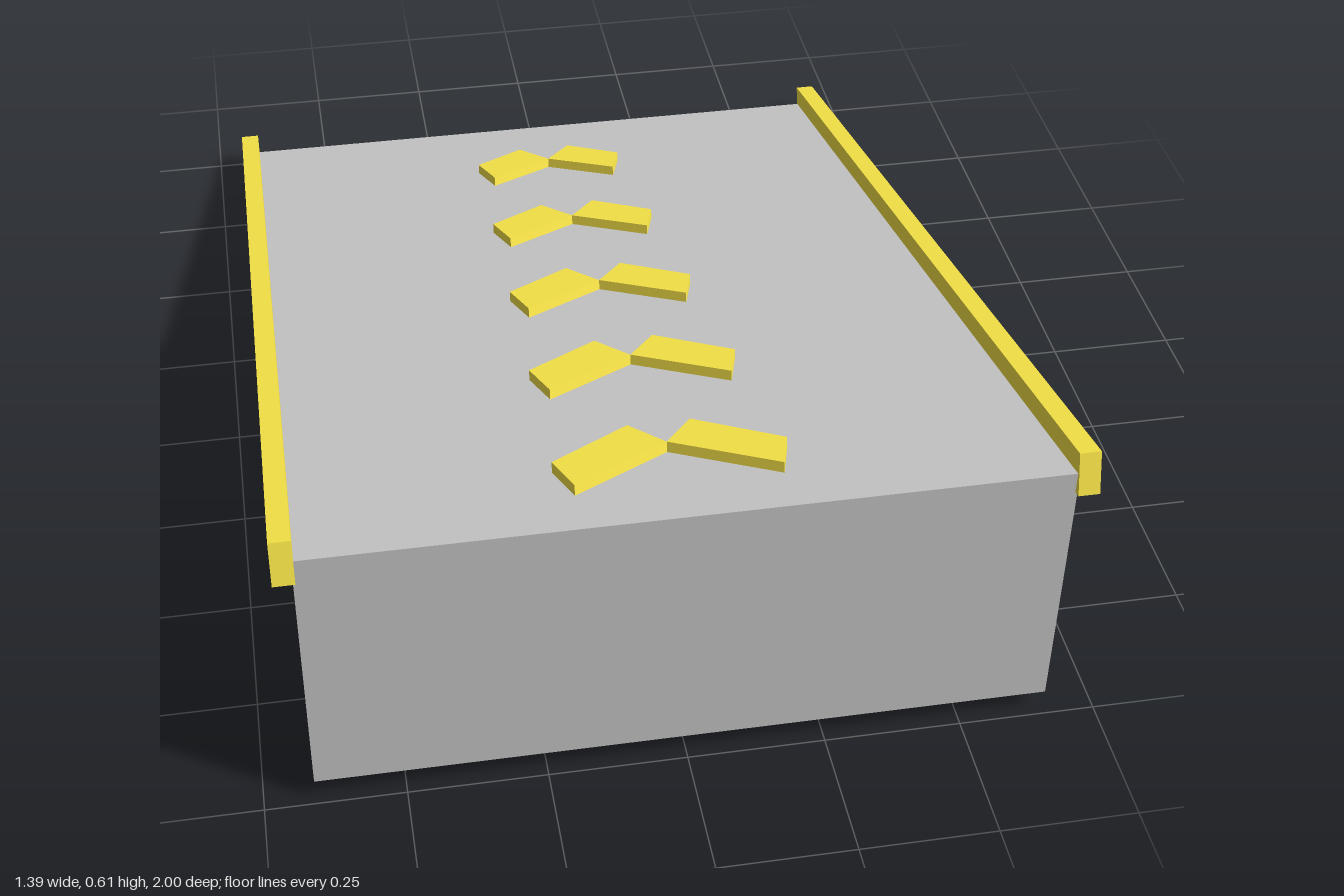
import * as THREE from 'three';

export function createModel() {
  const model = new THREE.Group();
  const grey = new THREE.MeshStandardMaterial({ color: 0xcccccc, flatShading: true });
  const yellow = new THREE.MeshStandardMaterial({ color: 0xffea4a, flatShading: true });

  const halfWidth = 0.66, halfLength = 0.985, low = 0.042, high = 0.57;
  const slope = Math.atan2(high - low, 2 * halfLength);
  const cos = Math.cos(slope);

  const add = (parent, name, geometry, material) => {
    const mesh = new THREE.Mesh(geometry, material);
    mesh.name = name;
    parent.add(mesh);
    return mesh;
  };

  // Solid wedge: side profile extruded across the width
  const profile = new THREE.Shape([
    new THREE.Vector2(-halfLength, low),
    new THREE.Vector2(halfLength, low),
    new THREE.Vector2(-halfLength, high),
  ]);
  const wedge = new THREE.ExtrudeGeometry(profile, { depth: 2 * halfWidth, bevelEnabled: false });
  wedge.translate(0, 0, -halfWidth).rotateY(Math.PI / 2);
  add(model, 'rampBody', wedge, grey);

  // Everything on the sloped surface shares one tilted frame
  const deck = new THREE.Group();
  deck.name = 'slopedDeck';
  deck.position.y = (low + high) / 2;
  deck.rotation.x = -slope;
  model.add(deck);

  // Side rails
  for (const side of [1, -1]) {
    const rail = add(deck, side > 0 ? 'leftRail' : 'rightRail',
      new THREE.BoxGeometry(0.038, 0.08, 2.05), yellow);
    rail.position.x = side * 0.675;
  }

  // Chevron arrows pointing down the slope, shrinking toward the low end
  const rows = 5;
  for (let i = 0; i < rows; i++) {
    const arrow = new THREE.Group();
    arrow.name = 'chevron' + (i + 1);
    arrow.position.z = (0.75 - i * 0.364) / cos;
    deck.add(arrow);
    const reach = 0.18 - i * 0.0112;
    const drop = reach * 0.667;
    for (const side of [1, -1]) {
      const outline = [[0, 0], [reach, drop], [reach + 0.026, drop - 0.09], [0.056, -0.078]];
      const shape = new THREE.Shape(outline.map(([x, z]) => new THREE.Vector2(side * x, -z / cos)));
      const slab = new THREE.ExtrudeGeometry(shape, { depth: 0.025, bevelEnabled: false });
      slab.rotateX(-Math.PI / 2).translate(0, -0.005, 0);
      add(arrow, side > 0 ? 'leftStripe' : 'rightStripe', slab, yellow);
    }
  }

  return model;
}
